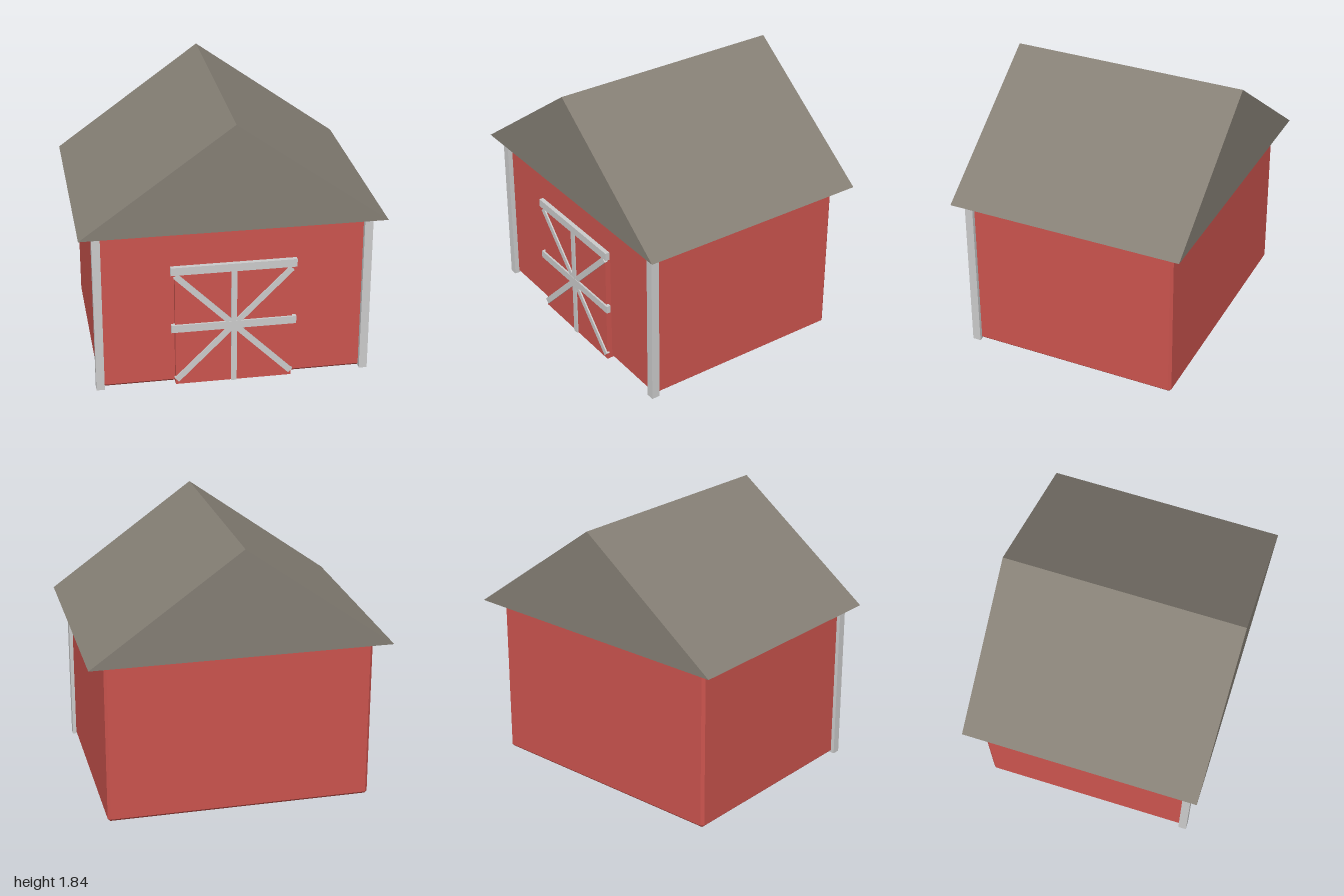
import * as THREE from 'three';
import { ConvexGeometry } from 'three/addons/geometries/ConvexGeometry.js';

export function createModel() {
  const barn = new THREE.Group();
  barn.name = 'barn';
  const red = new THREE.MeshStandardMaterial({ color: 0xcb544e });
  red.name = 'barn red';
  const trim = new THREE.MeshStandardMaterial({ color: 0xcbcbcb });
  trim.name = 'pale trim';
  const slate = new THREE.MeshStandardMaterial({ color: 0x857f75 });
  slate.name = 'grey roof';

  function add(name, geometry, material, x = 0, y = 0, z = 0) {
    const mesh = new THREE.Mesh(geometry, material);
    mesh.name = name;
    mesh.position.set(x, y, z);
    barn.add(mesh);
    return mesh;
  }
  const box = (name, w, h, d, material, x, y, z) =>
    add(name, new THREE.BoxGeometry(w, h, d), material, x, y, z);

  // Box with every edge chamfered by c
  function chamferBox(w, h, d, c) {
    const points = [];
    for (const sx of [-1, 1]) for (const sy of [-1, 1]) for (const sz of [-1, 1]) {
      for (let face = 0; face < 3; face++) {
        const inset = [c, c, c];
        inset[face] = 0;
        points.push(new THREE.Vector3(
          sx * (w / 2 - inset[0]), sy * (h / 2 - inset[1]), sz * (d / 2 - inset[2])));
      }
    }
    return new ConvexGeometry(points);
  }

  // Walls
  add('walls', chamferBox(1.78, 1.115, 1.434, 0.018), red, 0, 0.5575, 0);

  // Gabled roof
  const gable = new THREE.Shape([
    new THREE.Vector2(-1, 1.115), new THREE.Vector2(1, 1.115), new THREE.Vector2(0, 1.835)]);
  add('roof', new THREE.ExtrudeGeometry(gable, { depth: 1.61, bevelEnabled: false }), slate, 0, 0, -0.805);

  // Front corner posts
  for (const side of [-1, 1]) {
    box(side > 0 ? 'leftCornerPost' : 'rightCornerPost', 0.055, 1.115, 0.056, trim, side * 0.8875, 0.5575, 0.723);
  }

  // Door with rails, centre stile and crossed braces
  box('door', 0.776, 0.83, 0.06, red, 0, 0.415, 0.726);
  box('topRail', 0.83, 0.055, 0.03, trim, 0, 0.8375, 0.754);
  box('middleRail', 0.83, 0.053, 0.03, trim, 0, 0.42, 0.754);
  box('centreStile', 0.038, 0.82, 0.026, trim, 0, 0.41, 0.754);
  for (const side of [-1, 1]) {
    const brace = box('diagonalBrace', 1.08, 0.04, 0.024, trim, 0, 0.418, 0.754);
    brace.rotation.z = side * Math.PI / 4;
  }

  return barn;
}
